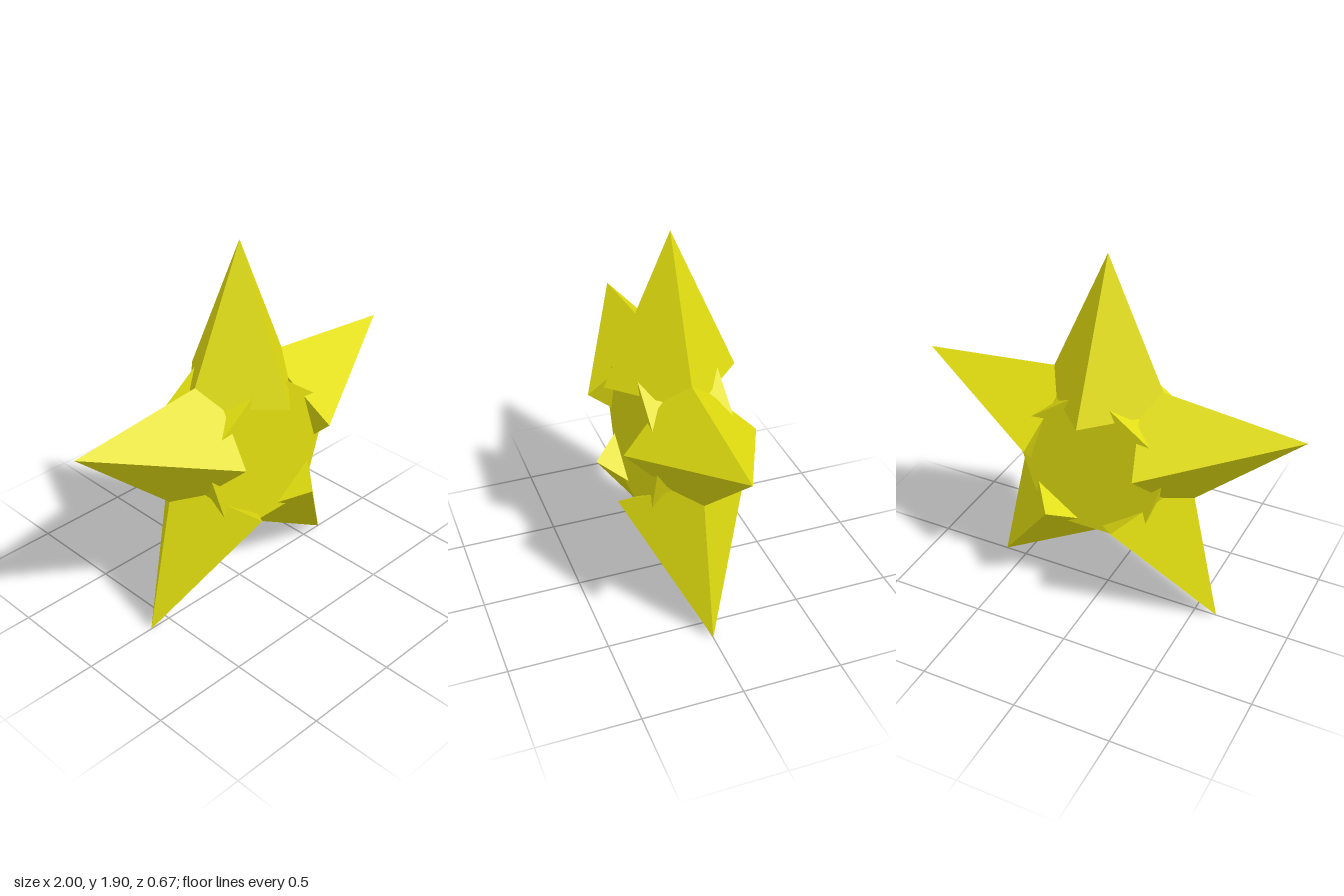
import * as THREE from 'three';

const CENTRE_Y = 0.85;
const TIP_RADIUS = 1.05;   // centre to tip of each arm
const BASE_RADIUS = 0.3;   // centre to the flat base of each arm
const ARM_WIDTH = 0.333;   // half diagonal of the square base

export function createModel() {
  const model = new THREE.Group();
  model.name = 'star';
  const yellow = new THREE.MeshStandardMaterial({ color: 0xe0dc10, flatShading: true });
  yellow.name = 'yellow';

  // Four-sided pyramid arms, ridges facing front, back and both sides
  const length = TIP_RADIUS - BASE_RADIUS;
  const armGeometry = new THREE.ConeGeometry(ARM_WIDTH, length, 4);
  armGeometry.translate(0, BASE_RADIUS + length / 2, 0);
  for (let i = 0; i < 5; i++) {
    const arm = new THREE.Mesh(armGeometry, yellow);
    arm.name = `arm${i + 1}`;
    arm.position.y = CENTRE_Y;
    arm.rotation.z = (i * Math.PI * 2) / 5;
    model.add(arm);
  }

  // Pentagonal core, its flat sides showing in the valleys between the arms
  const coreGeometry = new THREE.CylinderGeometry(0.439, 0.439, 0.4, 5, 1, false, Math.PI);
  coreGeometry.rotateX(Math.PI / 2);
  const core = new THREE.Mesh(coreGeometry, yellow);
  core.name = 'core';
  core.position.y = CENTRE_Y;
  model.add(core);

  return model;
}
